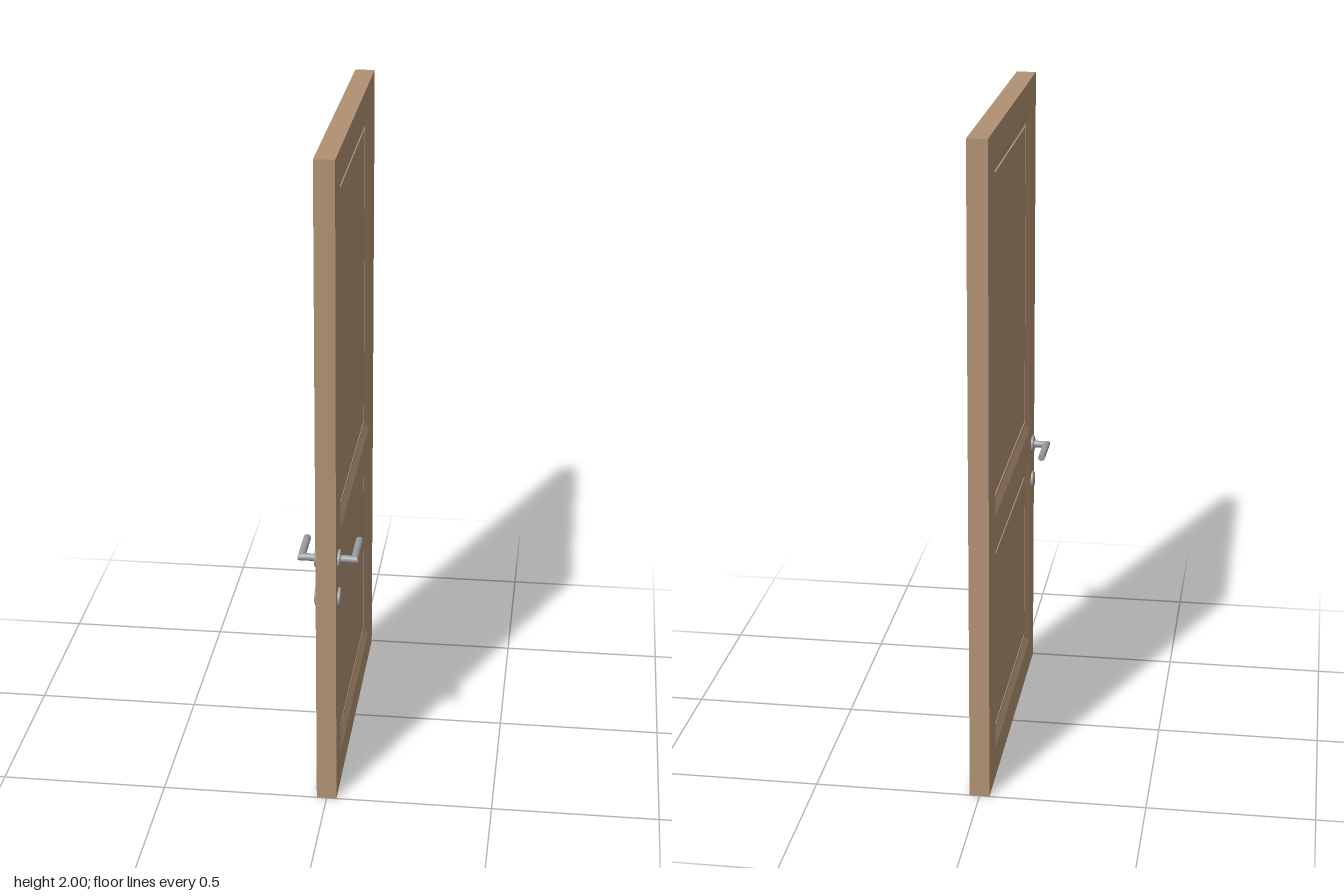
import * as THREE from 'three';

const wood = new THREE.MeshStandardMaterial({ name: 'wood', color: 0xb09172 });
const metal = new THREE.MeshStandardMaterial({ name: 'metal', color: 0x999ea2 });

const HALF = 0.03; // half the leaf thickness
const LOCK_Z = 0.445;
const OPENINGS = [
  { name: 'upperPanel', z0: -0.375, z1: 0.395, y0: 0.853, y1: 1.903 },
  { name: 'lowerPanel', z0: -0.375, z1: 0.395, y0: 0.097, y1: 0.742 },
];
// Panel moulding as [inset from opening, distance from mid-plane]
const MOULDING = [[0, 0.03], [0.025, 0.018], [0.035, 0.018], [0.035, 0.013], [0.044, 0.013], [0.044, 0.018]];

function mesh(name, geometry, material) {
  const m = new THREE.Mesh(geometry, material);
  m.name = name;
  return m;
}

function rectangle(path, z0, z1, y0, y1) {
  path.moveTo(z0, y0);
  path.lineTo(z1, y0);
  path.lineTo(z1, y1);
  path.lineTo(z0, y1);
  path.closePath();
  return path;
}

// Stiles and rails, one slab with two openings
function frameGeometry() {
  const shape = rectangle(new THREE.Shape(), -0.5, 0.5, 0, 2);
  for (const o of OPENINGS) shape.holes.push(rectangle(new THREE.Path(), o.z0, o.z1, o.y0, o.y1));
  const g = new THREE.ExtrudeGeometry(shape, { depth: HALF * 2, bevelEnabled: false });
  return g.translate(0, 0, -HALF).rotateY(-Math.PI / 2);
}

// Bevel, groove and centre field of one panel on side s
function panelGeometry(o, s) {
  const positions = [];
  const quad = (a, b, c, d) => {
    const order = s > 0 ? [a, c, b, a, d, c] : [a, b, c, a, c, d];
    for (const p of order) positions.push(...p);
  };
  const loops = MOULDING.map(([i, x]) => [
    [s * x, o.y0 + i, o.z0 + i], [s * x, o.y0 + i, o.z1 - i],
    [s * x, o.y1 - i, o.z1 - i], [s * x, o.y1 - i, o.z0 + i],
  ]);
  for (let k = 0; k < loops.length - 1; k++) {
    for (let j = 0; j < 4; j++) {
      const n = (j + 1) % 4;
      quad(loops[k][j], loops[k][n], loops[k + 1][n], loops[k + 1][j]);
    }
  }
  quad(...loops[loops.length - 1]);
  const g = new THREE.BufferGeometry();
  g.setAttribute('position', new THREE.Float32BufferAttribute(positions, 3));
  g.computeVertexNormals();
  return g;
}

// Round plate with a chamfered rim, facing outwards on side s
function rosette(name, s, y) {
  const rim = [[0.028, 0], [0.028, 0.006], [0.026, 0.008], [0, 0.008]];
  const points = [];
  rim.forEach(([r, h], i) => {
    points.push(new THREE.Vector2(r, h));
    if (i === 1 || i === 2) points.push(new THREE.Vector2(r, h)); // crisp edges
  });
  const g = new THREE.LatheGeometry(points, 32).rotateZ(-s * Math.PI / 2);
  const m = mesh(name, g, metal);
  m.position.set(s * HALF, y, LOCK_Z);
  return m;
}

// Rod along y from 0 to length, one end cut by a mitre rule
function rod(length, atTop, shift) {
  const g = new THREE.CylinderGeometry(0.011, 0.011, length, 24).translate(0, length / 2, 0);
  const p = g.attributes.position;
  for (let i = 0; i < p.count; i++) {
    if ((p.getY(i) > length / 2) === atTop) p.setY(i, p.getY(i) + shift(p.getX(i), p.getZ(i)));
  }
  return g;
}

function handle(s) {
  const y = 0.785, reach = 0.078;
  const g = new THREE.Group();
  g.name = s > 0 ? 'leftHandle' : 'rightHandle';
  const stem = mesh('stem', rod(reach - HALF, true, (x, z) => z).rotateZ(-s * Math.PI / 2), metal);
  stem.position.set(s * HALF, y, LOCK_Z);
  const lever = mesh('lever', rod(0.128, false, (x) => -x * s).rotateX(-Math.PI / 2), metal);
  lever.position.set(s * reach, y, LOCK_Z);
  g.add(rosette('handleRosette', s, y), stem, lever, rosette('lockRosette', s, 0.66));
  return g;
}

export function createModel() {
  const door = new THREE.Group();
  door.name = 'door';
  door.add(mesh('frame', frameGeometry(), wood));
  for (const s of [1, -1]) {
    for (const o of OPENINGS) door.add(mesh(o.name, panelGeometry(o, s), wood));
    door.add(handle(s));
  }
  return door;
}
